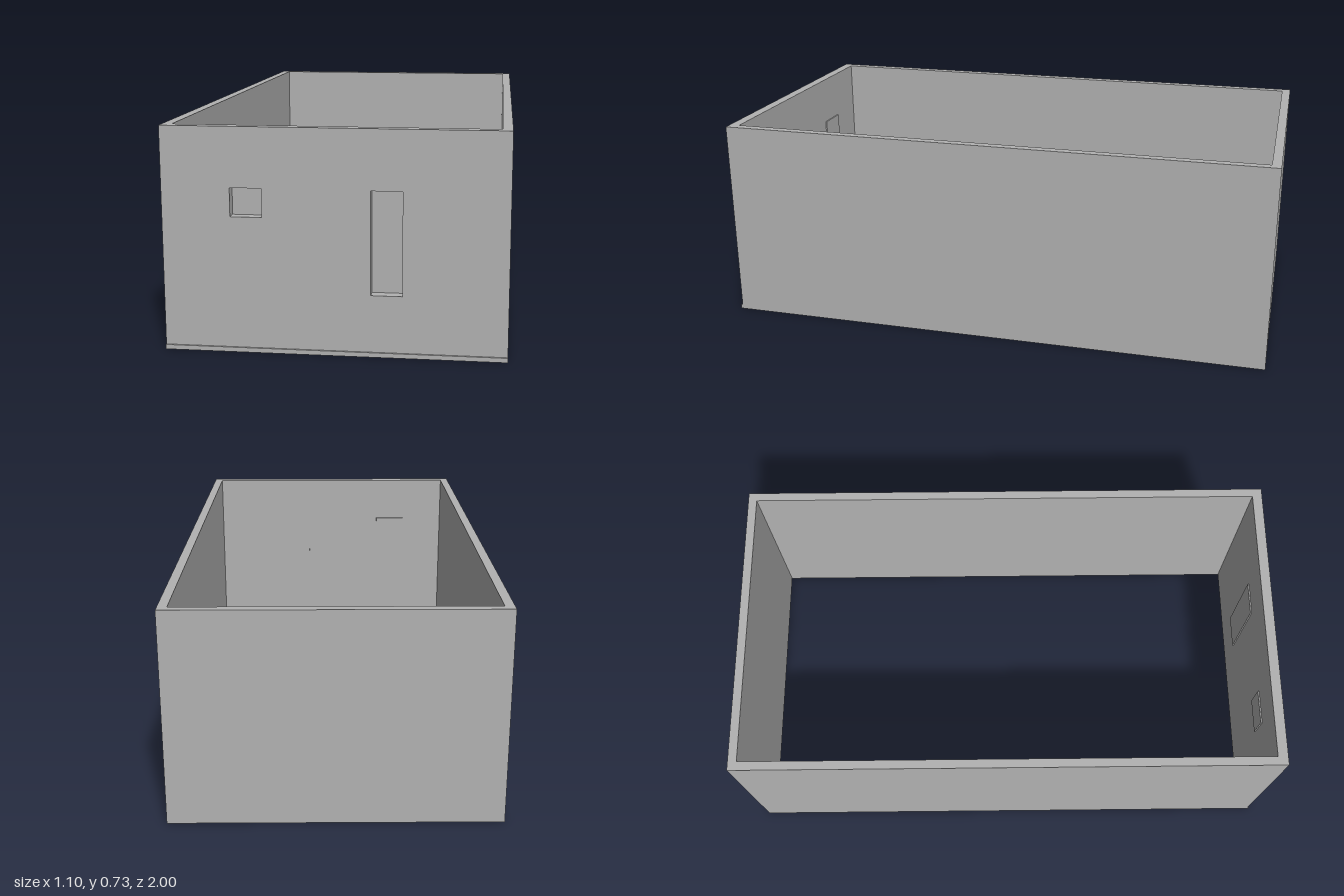
import * as THREE from 'three';

const W = 0.552, H = 0.733;              // half width, wall height
const INNER = 0.52, BACK_IN = -0.968;    // inner faces of side and back walls
const FRONT_IN = 0.957, FRONT = 0.994;   // inner and outer faces of the front wall
const LIP = 0.015;                       // height of the front bottom lip

// openings: x0, x1, y0, y1
const openings = {
  window: [-0.33, -0.228, 0.445, 0.538],
  door: [0.118, 0.218, 0.202, 0.538],
};

const path = (points, Type = THREE.Shape) => new Type(points.map(([x, y]) => new THREE.Vector2(x, y)));
const rect = (x0, x1, y0, y1, Type) => path([[x0, y0], [x1, y0], [x1, y1], [x0, y1]], Type);
const extrude = (shape, depth) => new THREE.ExtrudeGeometry(shape, { depth, bevelEnabled: false });

export function createModel() {
  const group = new THREE.Group();
  const wallGrey = new THREE.MeshStandardMaterial({ color: 0xb2b2b2 });
  wallGrey.name = 'wallGrey';

  const add = (name, geometry) => {
    const mesh = new THREE.Mesh(geometry, wallGrey);
    mesh.name = name;
    group.add(mesh);
  };

  // side and back walls as one U-shaped plan (plan y = -z)
  const plan = path([
    [-W, -FRONT_IN], [-INNER, -FRONT_IN], [-INNER, -BACK_IN], [INNER, -BACK_IN],
    [INNER, -FRONT_IN], [W, -FRONT_IN], [W, 1], [-W, 1],
  ]);
  add('sideAndBackWalls', extrude(plan, H).rotateX(-Math.PI / 2));

  // front wall with the two openings cut through
  const front = rect(-W, W, 0, H);
  for (const o of Object.values(openings)) front.holes.push(rect(...o, THREE.Path));
  add('frontWall', extrude(front, FRONT - FRONT_IN).translate(0, 0, FRONT_IN));

  // thin lip along the foot of the front wall
  add('frontLip', extrude(rect(-W, W, 0, LIP), 1 - FRONT).translate(0, 0, FRONT));

  // panels closing the openings from the inside, slightly larger than each hole
  const m = 0.012, t = 0.005;
  for (const [name, [x0, x1, y0, y1]] of Object.entries(openings)) {
    add(name + 'Panel', extrude(rect(x0 - m, x1 + m, y0 - m, y1 + m), t).translate(0, 0, FRONT_IN - t));
  }
  return group;
}
